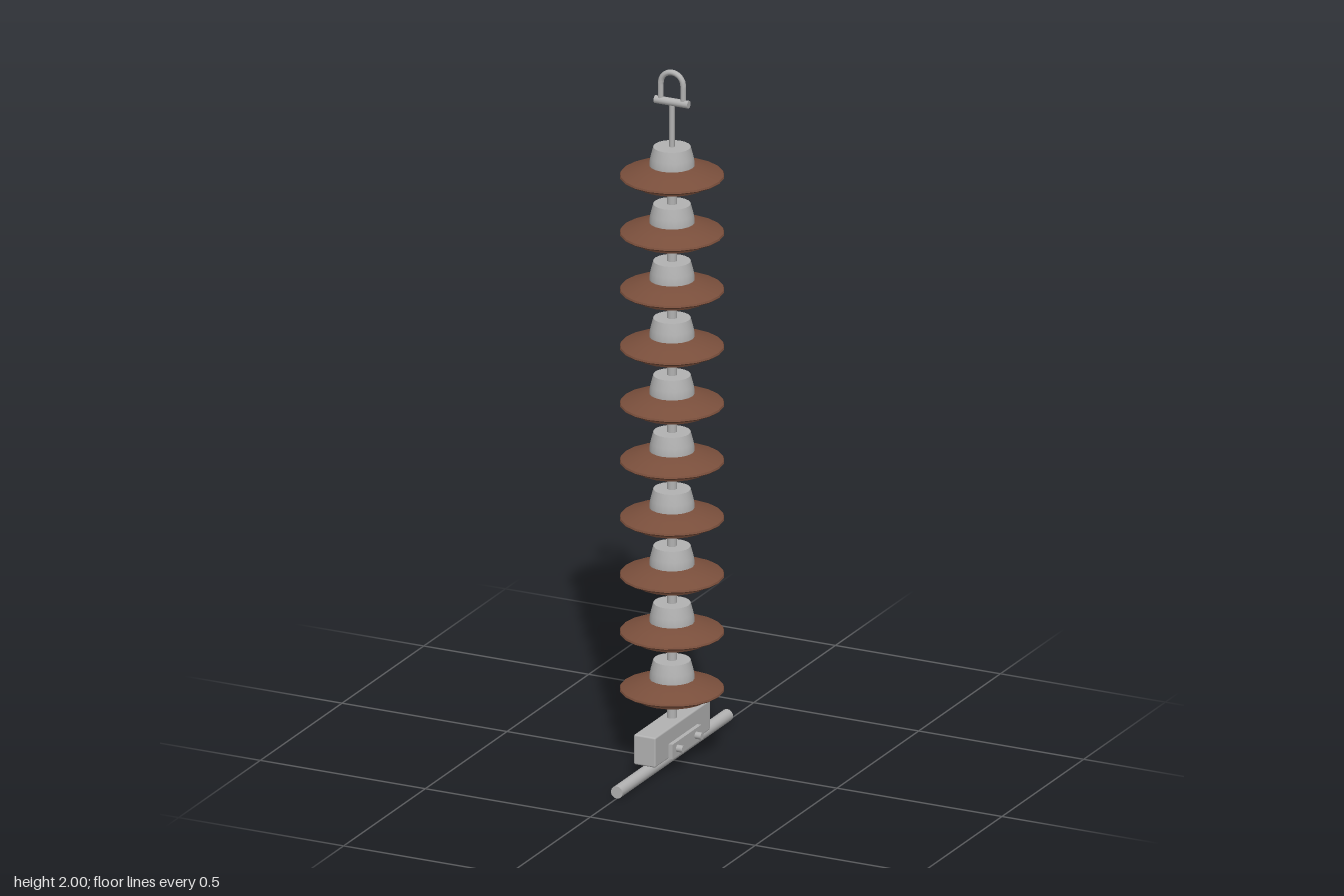
import * as THREE from 'three';
import { toCreasedNormals } from 'three/addons/utils/BufferGeometryUtils.js';
import { RoundedBoxGeometry } from 'three/addons/geometries/RoundedBoxGeometry.js';

const steel = new THREE.MeshStandardMaterial({ color: 0xb2b2b2 });
steel.name = 'galvanised steel';
const porcelain = new THREE.MeshStandardMaterial({ color: 0x7a4f3c });
porcelain.name = 'brown porcelain';

function add(parent, name, geometry, material, x = 0, y = 0, z = 0) {
  const mesh = new THREE.Mesh(geometry, material);
  mesh.name = name;
  mesh.position.set(x, y, z);
  parent.add(mesh);
  return mesh;
}

const lathe = (profile) => toCreasedNormals(
  new THREE.LatheGeometry(profile.map(([r, y]) => new THREE.Vector2(r, y)), 20), 0.5);

export function createModel() {
  const model = new THREE.Group();
  model.name = 'insulatorString';

  const count = 10, pitch = 0.165, firstTop = 0.293;

  // Insulator units, measured down from the top of each cap
  const capGeo = lathe([[0.062, -0.058], [0.062, -0.046], [0.059, -0.03], [0.051, 0], [0, 0]]);
  const discGeo = lathe([
    [0, -0.09], [0.03, -0.09],
    [0.036, -0.104], [0.046, -0.104], [0.052, -0.09],   // inner rib
    [0.062, -0.09], [0.068, -0.106], [0.078, -0.106], [0.083, -0.092], // middle rib
    [0.09, -0.092], [0.094, -0.108], [0.101, -0.108], [0.106, -0.097], // outer rib
    [0.118, -0.097], [0.138, -0.089], [0.143, -0.085], [0.141, -0.08], // rim
    [0.1, -0.065], [0.064, -0.053], [0, -0.053],
  ]);
  const pinGeo = new THREE.CylinderGeometry(0.0135, 0.0135, 0.09, 16);
  for (let i = 0; i < count; i++) {
    const unit = new THREE.Group();
    unit.name = 'insulatorUnit';
    unit.position.y = firstTop + i * pitch;
    add(unit, 'cap', capGeo, steel);
    add(unit, 'disc', discGeo, porcelain);
    add(unit, 'pin', pinGeo, steel, 0, -0.125, 0);
    model.add(unit);
  }

  // Hanger: rod, cross pin and shackle
  const top = firstTop + (count - 1) * pitch;
  add(model, 'hangerRod', new THREE.CylinderGeometry(0.0075, 0.0075, 1.905 - top, 12), steel, 0, (top + 1.905) / 2, 0);
  add(model, 'shacklePin', new THREE.CylinderGeometry(0.011, 0.011, 0.102, 14), steel, 0, 1.907, 0)
    .rotation.z = Math.PI / 2;
  const bow = new THREE.CurvePath();
  const r = 0.034, yArc = 1.958;
  const arc = [];
  for (let i = 0; i <= 8; i++) {
    const a = Math.PI * i / 8;
    arc.push(new THREE.Vector3(r * Math.cos(a), yArc + r * Math.sin(a), 0));
  }
  bow.add(new THREE.LineCurve3(new THREE.Vector3(r, 1.907, 0), arc[0]));
  bow.add(new THREE.CatmullRomCurve3(arc));
  bow.add(new THREE.LineCurve3(arc[8], new THREE.Vector3(-r, 1.907, 0)));
  add(model, 'shackle', new THREE.TubeGeometry(bow, 36, 0.008, 10), steel);

  // Suspension clamp with bolted cheek plates
  add(model, 'clampBody', new RoundedBoxGeometry(0.066, 0.087, 0.338, 2, 0.005), steel, 0, 0.0825, 0);
  const cheekGeo = new THREE.BoxGeometry(0.014, 0.042, 0.176);
  const boltGeo = new THREE.CylinderGeometry(0.01, 0.01, 0.022, 12);
  for (const side of [-1, 1]) {
    add(model, 'cheekPlate', cheekGeo, steel, side * 0.038, 0.061, 0);
    for (const z of [-0.057, 0.057]) {
      add(model, 'bolt', boltGeo, steel, side * 0.052, 0.062, z).rotation.z = Math.PI / 2;
    }
  }

  // Conductor running front to back
  add(model, 'conductor', new THREE.CylinderGeometry(0.0175, 0.0175, 0.677, 18), steel, 0, 0.0195, 0)
    .rotation.x = Math.PI / 2;

  return model;
}
